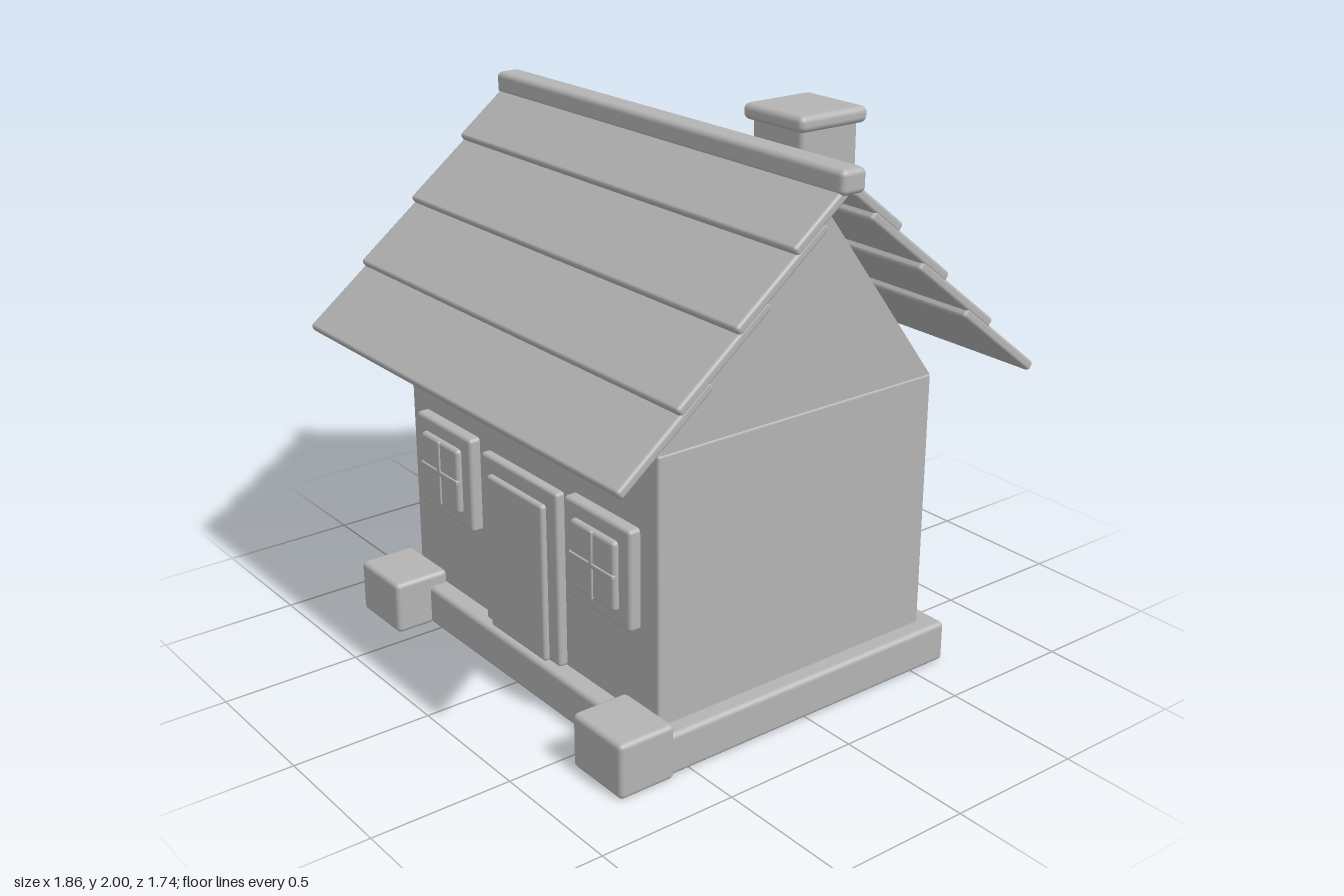
import * as THREE from 'three';
import { RoundedBoxGeometry } from 'three/addons/geometries/RoundedBoxGeometry.js';

export function createModel() {
  const house = new THREE.Group();
  house.name = 'house';

  const grey = new THREE.MeshStandardMaterial({ color: 0xb4b4b4 });
  grey.name = 'plain grey';
  grey.side = THREE.DoubleSide;

  // Soft-edged block given by its lower and upper bounds on each axis
  function block(name, [x0, x1], [y0, y1], [z0, z1], radius = 0.012, parent = house) {
    const geometry = new RoundedBoxGeometry(x1 - x0, y1 - y0, z1 - z0, 3, radius);
    const mesh = new THREE.Mesh(geometry, grey);
    mesh.name = name;
    mesh.position.set((x0 + x1) / 2, (y0 + y1) / 2, (z0 + z1) / 2);
    parent.add(mesh);
    return mesh;
  }

  // Foundation and walls
  block('foundation', [-0.795, 0.795], [0, 0.15], [-0.65, 0.65], 0.018);
  block('walls', [-0.73, 0.73], [0.14, 1.087], [-0.58, 0.58], 0.01);

  // Front corner blocks
  for (const side of [-1, 1]) {
    const cx = side * 0.68;
    block('cornerBlock', [cx - 0.13, cx + 0.13], [0, 0.197], [0.575, 0.79], 0.018);
  }

  // Thin gable triangles over an open attic
  const triangle = new THREE.Shape([
    new THREE.Vector2(-0.575, 1.085),
    new THREE.Vector2(0.575, 1.085),
    new THREE.Vector2(0, 1.85),
  ]);
  for (const side of [-1, 1]) {
    const gable = new THREE.Mesh(new THREE.ShapeGeometry(triangle), grey);
    gable.name = 'gable';
    gable.rotation.y = side * Math.PI / 2;
    gable.position.x = side * 0.728;
    house.add(gable);
  }

  // Overlapping roof planks, lowest first, on both slopes
  const pitch = THREE.MathUtils.degToRad(38);
  for (const side of [-1, 1]) {
    const slope = new THREE.Group();
    slope.name = side > 0 ? 'frontRoof' : 'backRoof';
    if (side < 0) slope.rotation.y = Math.PI;
    for (let i = 0; i < 4; i++) {
      const length = i < 3 ? 0.43 : 0.25;
      const plank = new THREE.Mesh(new RoundedBoxGeometry(1.84, 0.036, length, 3, 0.012), grey);
      plank.name = 'roofPlank';
      plank.rotation.x = pitch;
      plank.position.set(
        0,
        1.1 + 0.2 * i + Math.sin(pitch) * length / 2,
        0.866 - 0.217 * i - Math.cos(pitch) * length / 2,
      );
      slope.add(plank);
    }
    house.add(slope);
  }
  block('roofRidge', [-0.932, 0.932], [1.843, 1.924], [-0.05, 0.05], 0.02);

  // Chimney
  block('chimneyShaft', [0.315, 0.557], [1.33, 1.96], [-0.365, -0.122], 0.018);
  block('chimneyCap', [0.29, 0.58], [1.945, 2], [-0.388, -0.1], 0.022);

  // Door
  block('doorFrame', [-0.228, 0.226], [0.148, 0.79], [0.56, 0.612], 0.012);
  block('door', [-0.168, 0.166], [0.15, 0.73], [0.57, 0.632], 0.012);

  // Windows with crossed glazing bars
  for (const side of [-1, 1]) {
    const win = new THREE.Group();
    win.name = 'window';
    win.position.set(side * 0.46, 0.637, 0);
    block('windowFrame', [-0.178, 0.178], [-0.177, 0.177], [0.56, 0.622], 0.014, win);
    block('windowPane', [-0.12, 0.12], [-0.122, 0.122], [0.57, 0.642], 0.014, win);
    block('verticalBar', [-0.009, 0.009], [-0.12, 0.12], [0.63, 0.648], 0.004, win);
    block('horizontalBar', [-0.12, 0.12], [-0.009, 0.009], [0.63, 0.648], 0.004, win);
    house.add(win);
  }

  return house;
}
